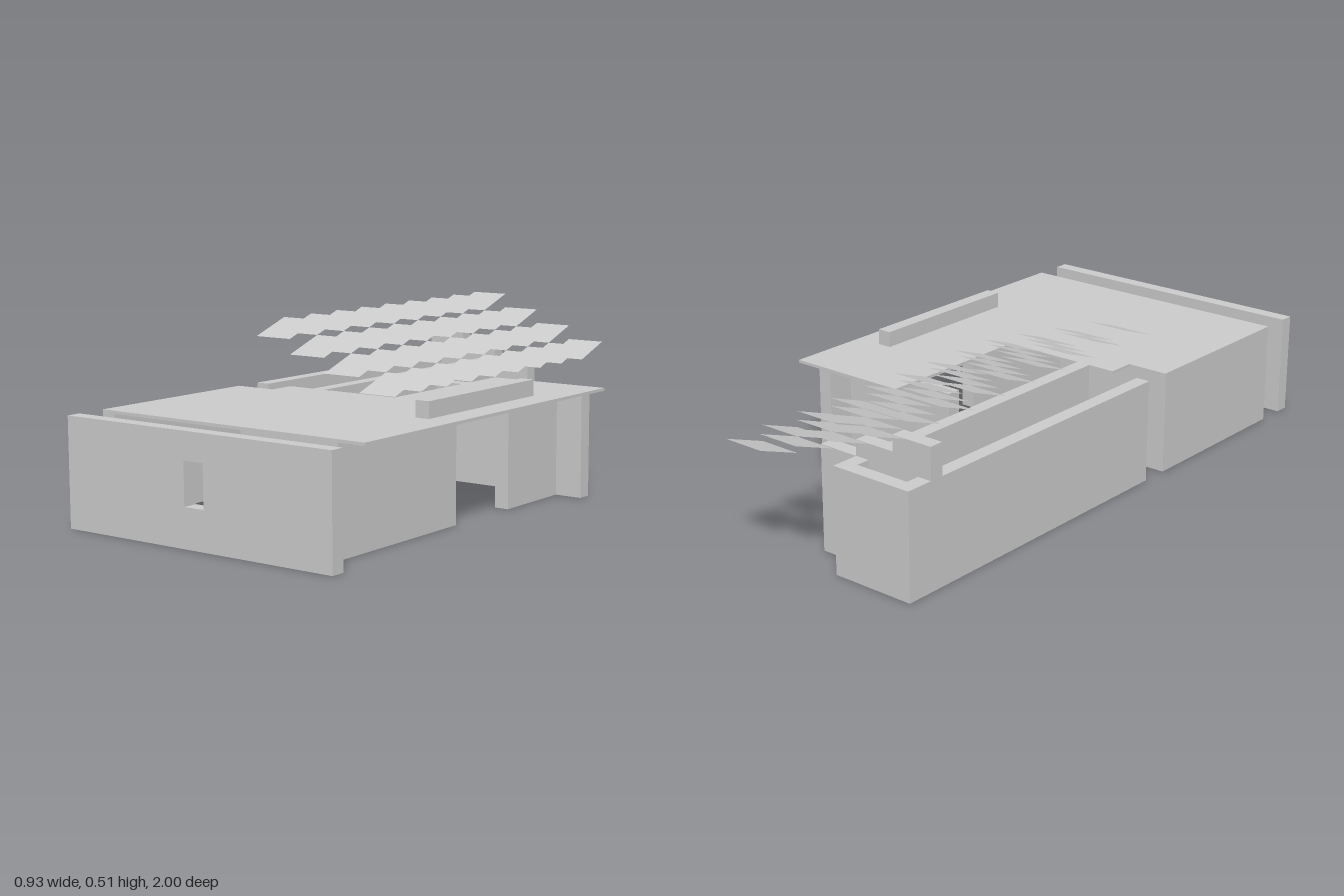
import * as THREE from 'three';

const material = new THREE.MeshStandardMaterial({ color: 0xcccccc, flatShading: true });
const sheetMaterial = new THREE.MeshStandardMaterial({ color: 0xcccccc, flatShading: true, side: THREE.DoubleSide });

const CELL = 0.1333; // layout module
const T = 0.045;     // wall thickness
const H = 0.32;      // top of the roof
const UNDER = 0.311; // underside of the roof

export function createModel() {
  const model = new THREE.Group();

  const add = (name, geometry, mat = material) => {
    const mesh = new THREE.Mesh(geometry, mat);
    mesh.name = name;
    model.add(mesh);
    return mesh;
  };

  // Box given by its extents on each axis
  const box = (name, [x0, x1], [y0, y1], [z0, z1]) => {
    const g = new THREE.BoxGeometry(x1 - x0, y1 - y0, z1 - z0);
    g.translate((x0 + x1) / 2, (y0 + y1) / 2, (z0 + z1) / 2);
    return add(name, g);
  };

  const polygon = (points) => new THREE.Shape(points.map(([x, y]) => new THREE.Vector2(x, y)));
  const rect = (x0, x1, y0, y1) => polygon([[x0, y0], [x1, y0], [x1, y1], [x0, y1]]);
  const extrude = (shape, depth) => new THREE.ExtrudeGeometry(shape, { depth, bevelEnabled: false });

  // Free-standing front wall with a window
  const front = rect(-0.467, 0.465, 0, H);
  front.holes.push(rect(-0.035, 0.033, 0.115, 0.24));
  add('frontWall', extrude(front, T).translate(0, 0, 0.955));

  // Roof slab, cut away over the stair court and the left doorway (shape y = -z)
  const roof = polygon([
    [-0.467, -0.865], [0.465, -0.865], [0.465, 0.333], [0.065, 0.333],
    [0.065, -0.2], [-0.333, -0.2], [-0.333, -0.285], [-0.467, -0.285],
  ]);
  add('roofSlab', extrude(roof, H - UNDER).rotateX(-Math.PI / 2).translate(0, UNDER, 0));
  box('roofBeam', [0.333, 0.378], [H, 0.369], [-0.067, 0.465]);

  // Walls beneath the roof
  box('rightFrontWall', [0.333, 0.378], [0, UNDER], [0.333, 0.865]);
  box('rightRearWall', [0.333, 0.378], [0, UNDER], [-0.333, 0.067]);
  box('rearCrossWall', [-0.067, 0.465], [0, UNDER], [-0.245, -0.2]);
  box('leftFrontWall', [-0.467, -0.422], [0, UNDER], [0.288, 0.865]);
  box('middleCrossWall', [-0.467, -0.067], [0, UNDER], [0.288, 0.333]);

  // Long open room at the back left
  box('leftRearWall', [-0.467, -0.422], [0, H], [-0.865, 0.2]);
  box('backWall', [-0.422, -0.245], [0, H], [-0.865, -0.82]);

  // Inner wall with a window (shape x = -z)
  const inner = rect(-0.2, 0.865, 0, H);
  inner.holes.push(rect(0.5, 0.567, 0.115, 0.245));
  add('innerWall', extrude(inner, T).rotateY(Math.PI / 2).translate(-0.245, 0, 0));

  // Stepped wall crossing the room
  const stepped = polygon([
    [-0.467, 0], [-0.067, 0], [-0.067, H], [-0.2, H],
    [-0.2, 0.368], [-0.333, 0.368], [-0.333, 0.416], [-0.467, 0.416],
  ]);
  add('steppedWall', extrude(stepped, T).translate(0, 0, -0.777));

  // Loose floor tiles, two in each place
  const tile = (x, z) => box('floorTile', [x - 0.053, x + 0.053], [0, 0.013], [z - 0.053, z + 0.053]);
  [[0, 0], [0, CELL], [-0.24, 0.79], [-0.373, 0.79]].forEach(([x, z]) => tile(x, z));

  // Louvred canopy: tilted panels stepping down towards the right
  const rise = 0.048;
  const panel = new THREE.PlaneGeometry(CELL, Math.hypot(CELL, rise));
  panel.rotateX(-Math.PI / 2 + Math.atan2(rise, CELL));
  for (let c = 0; c < 4; c++) {
    for (let r = 0; r < 9; r++) {
      add('canopyPanel', panel, sheetMaterial).position.set(
        -0.467 + CELL * (c + 0.5), 0.4655 - rise * c + rise / 2, 0.2 - CELL * (r + 0.5));
    }
  }

  return model;
}
